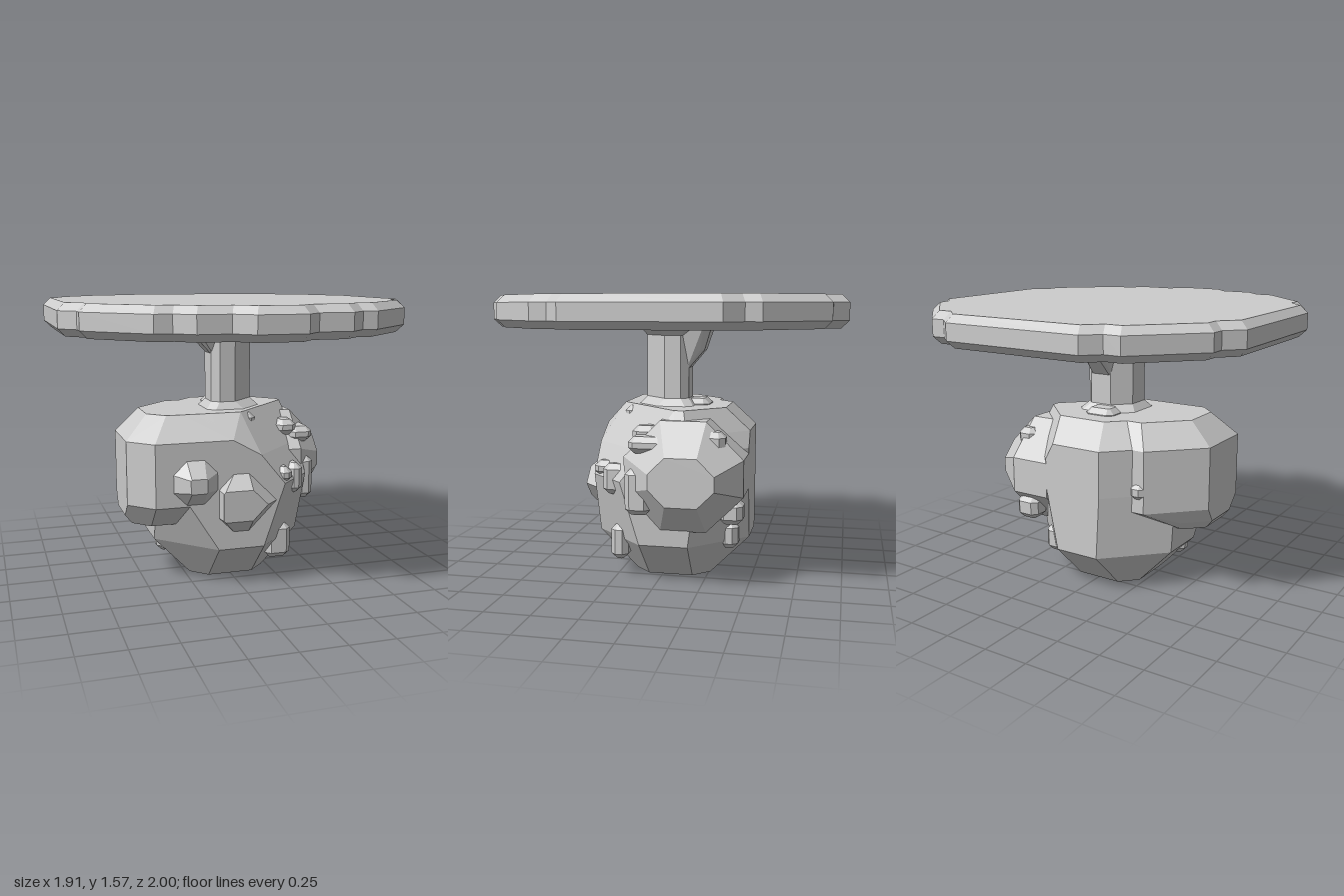
import * as THREE from 'three';
import { ConvexGeometry } from 'three/addons/geometries/ConvexGeometry.js';

const stone = new THREE.MeshStandardMaterial({ color: 0xcccccc });
stone.name = 'pale grey';

// Rectangle with cut corners; cuts ordered (++), (+-), (--), (-+)
function cutRect(a0, a1, b0, b1, c) {
  const [p, q, r, s] = Array.isArray(c) ? c : [c, c, c, c];
  return [
    [a1 - p, b1], [a1, b1 - p], [a1, b0 + q], [a1 - q, b0],
    [a0 + r, b0], [a0, b0 + r], [a0, b1 - s], [a0 + s, b1],
  ];
}

const place = {
  x: (t, a, b) => new THREE.Vector3(t, a, b), // section in (y, z)
  y: (t, a, b) => new THREE.Vector3(a, t, b), // section in (x, z)
  z: (t, a, b) => new THREE.Vector3(a, b, t), // section in (x, y)
};

// Faceted solid through sections [t, outline] stacked along an axis
function facetedSolid(name, axis, sections) {
  const points = sections.flatMap(([t, outline]) => outline.map(([a, b]) => place[axis](t, a, b)));
  const mesh = new THREE.Mesh(new ConvexGeometry(points), stone);
  mesh.name = name;
  return mesh;
}

// Small block with all edges cut
function knob(name, x, y, z, w, h, d, c = 0.03) {
  const full = cutRect(x - w / 2, x + w / 2, z - d / 2, z + d / 2, c);
  const small = cutRect(x - w / 2 + c, x + w / 2 - c, z - d / 2 + c, z + d / 2 - c, 0.01);
  return facetedSolid(name, 'y', [
    [y - h / 2, small], [y - h / 2 + c, full], [y + h / 2 - c, full], [y + h / 2, small],
  ]);
}

export function createModel() {
  const model = new THREE.Group();
  model.name = 'slabOnBoulder';

  // Slab with stepped round outline and bevelled rims, outline in (x, z)
  const outline = [
    [-0.4, -1], [0.39, -1], [0.48, -0.92], [0.56, -0.92], [0.86, -0.61], [0.87, -0.53],
    [0.955, -0.44], [0.955, 0.35], [0.87, 0.43], [0.87, 0.52], [0.56, 0.82], [0.48, 0.82],
    [0.39, 0.91], [0.21, 0.91], [0.125, 1], [-0.13, 1], [-0.22, 0.91], [-0.39, 0.91],
    [-0.48, 0.82], [-0.57, 0.82], [-0.87, 0.52], [-0.87, 0.43], [-0.955, 0.34],
    [-0.955, -0.44], [-0.87, -0.53], [-0.87, -0.61], [-0.57, -0.92], [-0.48, -0.92],
  ];
  const slabGeometry = new THREE.ExtrudeGeometry(
    new THREE.Shape(outline.map(([x, z]) => new THREE.Vector2(x, z))),
    { depth: 0.09, bevelThickness: 0.04, bevelSize: 0.04, bevelOffset: -0.04, bevelSegments: 1 },
  );
  slabGeometry.rotateX(Math.PI / 2).translate(0, 1.53, 0);
  const slab = new THREE.Mesh(slabGeometry, stone);
  slab.name = 'slab';
  model.add(slab);

  // Stem with flared ends and brackets under the slab
  const stemCuts = [0.13, 0.04, 0.09, 0.04];
  const stem = cutRect(-0.09, 0.17, -0.13, 0.13, stemCuts);
  const flare = cutRect(-0.13, 0.22, -0.17, 0.17, stemCuts);
  model.add(
    facetedSolid('stem', 'y', [[0.9, stem], [1.4, stem]]),
    facetedSolid('stemTop', 'y', [[1.35, stem], [1.41, flare]]),
    facetedSolid('stemFoot', 'y', [[0.95, flare], [1.0, stem]]),
    facetedSolid('sideBracket', 'y', [
      [1.27, cutRect(-0.09, 0, -0.04, 0.09, 0.01)],
      [1.41, cutRect(-0.22, 0, -0.09, 0.13, 0.04)],
    ]),
    facetedSolid('backBracket', 'y', [
      [1.17, cutRect(0, 0.13, -0.13, 0, 0.01)],
      [1.27, cutRect(0, 0.13, -0.215, 0, 0.02)],
      [1.35, cutRect(0, 0.13, -0.215, 0, 0.02)],
      [1.41, cutRect(-0.04, 0.17, -0.26, 0, 0.04)],
    ]),
  );

  // Boulder core and its two side lobes
  model.add(
    facetedSolid('boulderCore', 'y', [
      [0, cutRect(-0.22, 0.22, -0.26, 0.17, 0.09)],
      [0.22, cutRect(-0.43, 0.43, -0.48, 0.39, 0.3)],
      [0.57, cutRect(-0.45, 0.45, -0.48, 0.39, [0.2, 0.25, 0.3, 0.1])],
      [0.74, cutRect(-0.45, 0.45, -0.48, 0.39, [0.34, 0.25, 0.3, 0.1])],
      [0.83, cutRect(-0.45, 0.45, -0.48, 0.39, [0.5, 0.3, 0.3, 0.1])],
      [0.96, cutRect(-0.4, 0.39, -0.35, 0.26, [0.36, 0.2, 0.3, 0.1])],
    ]),
    facetedSolid('rightLobe', 'y', [
      [0.35, cutRect(-0.57, -0.1, -0.13, 0.26, [0.05, 0.05, 0.1, 0.09])],
      [0.4, cutRect(-0.61, -0.1, -0.17, 0.31, [0.05, 0.05, 0.13, 0.13])],
      [0.48, cutRect(-0.61, -0.1, -0.35, 0.39, [0, 0, 0.26, 0.13])],
      [0.83, cutRect(-0.61, -0.13, -0.35, 0.39, [0, 0, 0.26, 0.13])],
      [0.96, cutRect(-0.48, -0.13, -0.26, 0.26, [0, 0, 0.2, 0.09])],
    ]),
    facetedSolid('leftLobe', 'x', [
      [0.2, cutRect(0.31, 0.91, -0.48, 0.17, 0.2)],
      [0.43, cutRect(0.31, 0.91, -0.48, 0.17, 0.2)],
      [0.605, cutRect(0.48, 0.74, -0.35, 0, 0.09)],
    ]),
  );

  // Two large front bumps
  model.add(
    facetedSolid('roundBump', 'z', [
      [0.38, cutRect(-0.39, -0.13, 0.48, 0.74, 0.08)],
      [0.48, cutRect(-0.31, -0.22, 0.57, 0.65, 0.005)],
    ]),
    facetedSolid('centreBump', 'z', [
      [0.38, cutRect(-0.13, 0.21, 0.31, 0.65, [0.17, 0.17, 0.09, 0.09])],
      [0.48, cutRect(-0.13, 0.12, 0.4, 0.57, [0.085, 0.085, 0.01, 0.01])],
    ]),
  );

  // Small knobs and ledges: x, y, z, width, height, depth
  [
    [0.26, 0.61, 0.28, 0.09, 0.09, 0.2],
    [0.35, 0.57, 0.22, 0.09, 0.17, 0.17],
    [0.47, 0.53, 0.08, 0.1, 0.25, 0.14],
    [0.45, 0.785, 0.03, 0.14, 0.09, 0.2],
    [0.36, 0.83, 0.06, 0.12, 0.09, 0.14],
    [0.42, 0.8, -0.32, 0.12, 0.12, 0.13],
    [0.08, 0.9, 0.16, 0.1, 0.1, 0.17],
    [0.36, 0.42, -0.41, 0.14, 0.13, 0.13],
    [0.26, 0.2, 0.23, 0.15, 0.2, 0.1],
    [0.2, 0.25, -0.38, 0.12, 0.15, 0.1],
    [-0.31, 0.6, -0.32, 0.1, 0.1, 0.1],
    [-0.36, 0.2, 0.04, 0.1, 0.12, 0.1],
    [0.02, 0.95, -0.17, 0.18, 0.09, 0.14],
  ].forEach((k, i) => model.add(knob(`knob${i + 1}`, ...k)));

  return model;
}
